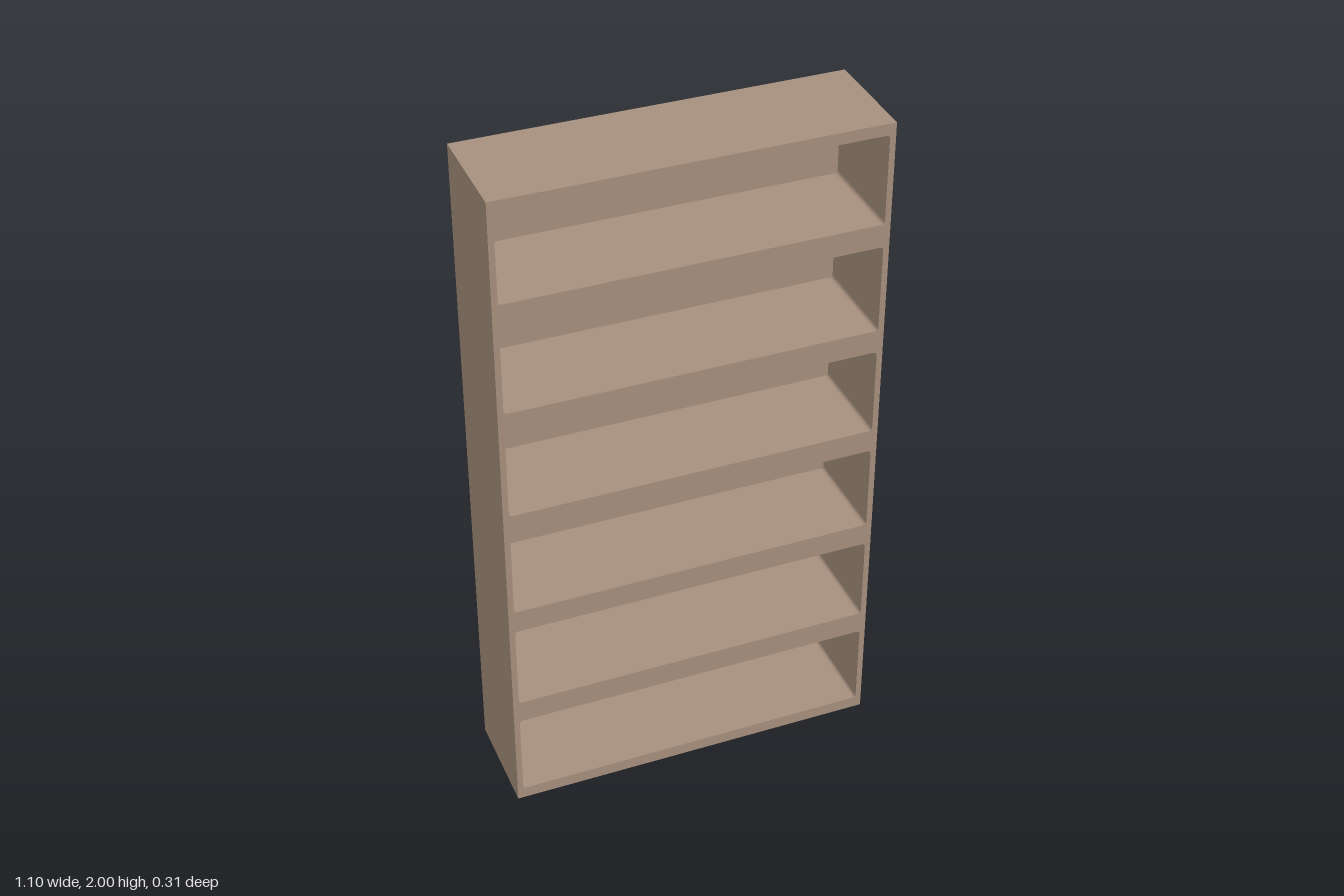
import * as THREE from 'three';

const W = 1.1, H = 2, D = 0.315, BACK = 0.02;
const ROWS = 6, PITCH = 1 / 3, OPEN_W = 1.066, OPEN_H = 0.264, R = 0.012;

// Rounded rectangle outline, centred on x = 0, with its bottom at y
function roundedRect(path, w, y, h, r) {
  const x = w / 2, t = y + h;
  path.moveTo(-x + r, y);
  path.lineTo(x - r, y);
  path.quadraticCurveTo(x, y, x, y + r);
  path.lineTo(x, t - r);
  path.quadraticCurveTo(x, t, x - r, t);
  path.lineTo(-x + r, t);
  path.quadraticCurveTo(-x, t, -x, t - r);
  path.lineTo(-x, y + r);
  path.quadraticCurveTo(-x, y, -x + r, y);
  return path;
}

export function createModel() {
  const group = new THREE.Group();
  group.name = 'bookcase';
  const wood = new THREE.MeshStandardMaterial({ color: 0xa68f7d });

  // Sides, top, base and shelves: one slab with six openings
  const outline = new THREE.Shape([
    new THREE.Vector2(-W / 2, 0), new THREE.Vector2(W / 2, 0),
    new THREE.Vector2(W / 2, H), new THREE.Vector2(-W / 2, H),
  ]);
  for (let i = 0; i < ROWS; i++) {
    const y = i * PITCH + (PITCH - OPEN_H) / 2 + 0.001;
    outline.holes.push(roundedRect(new THREE.Path(), OPEN_W, y, OPEN_H, R));
  }
  const frameGeometry = new THREE.ExtrudeGeometry(outline, {
    depth: D - BACK, bevelEnabled: false, curveSegments: 4,
  });
  const frame = new THREE.Mesh(frameGeometry, wood);
  frame.name = 'shelfFrame';
  frame.position.z = -D / 2 + BACK;
  group.add(frame);

  // Closed back
  const back = new THREE.Mesh(new THREE.BoxGeometry(W, H, BACK), wood);
  back.name = 'backPanel';
  back.position.set(0, H / 2, -D / 2 + BACK / 2);
  group.add(back);

  return group;
}
